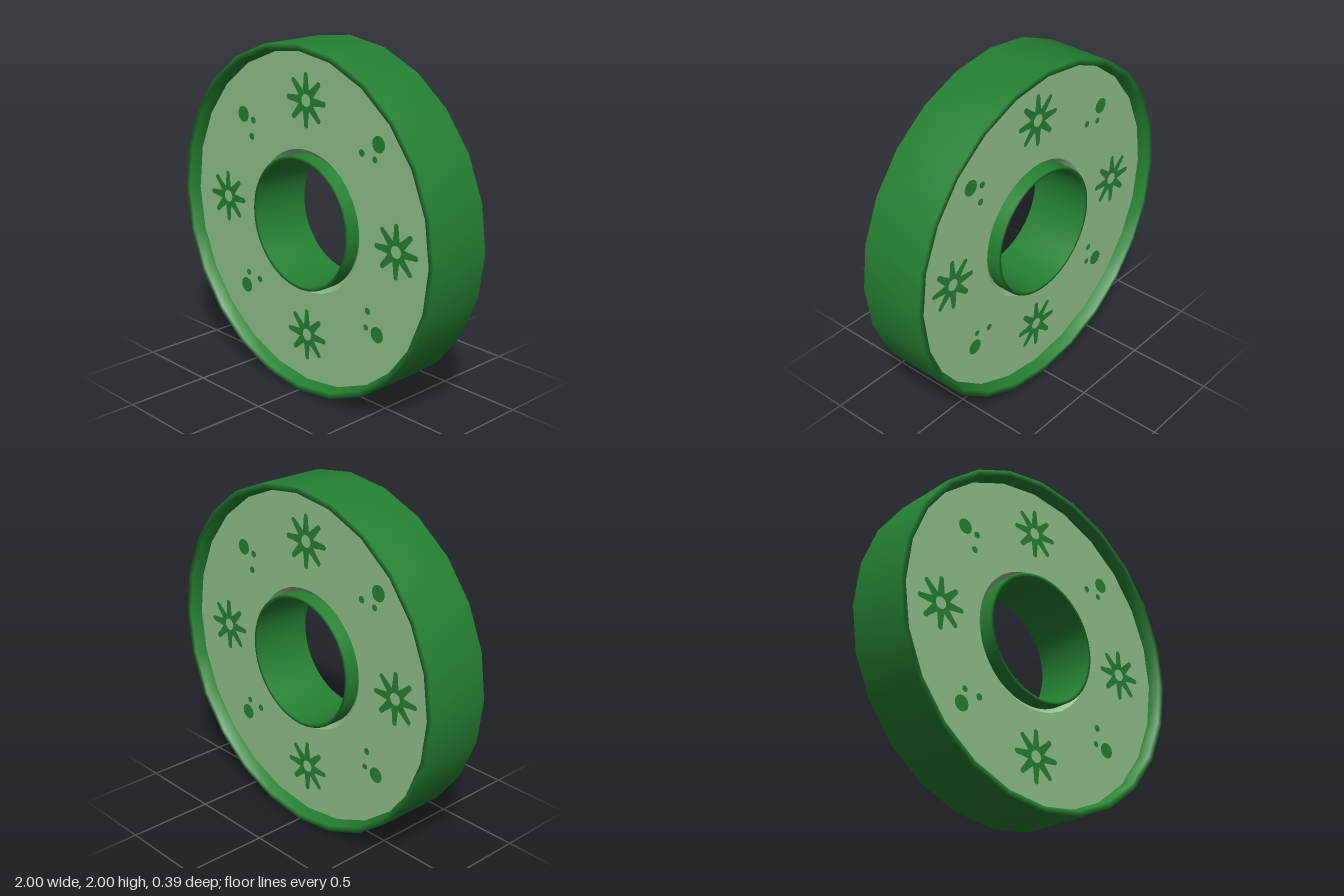
import * as THREE from 'three';

const FACE_Z = 0.128;

// Smooth revolved part whose axis runs front to back
function revolve(points, segments, material, name) {
  const geometry = new THREE.LatheGeometry(points.map(p => new THREE.Vector2(...p)), segments);
  geometry.rotateX(Math.PI / 2);
  const mesh = new THREE.Mesh(geometry, material);
  mesh.name = name;
  return mesh;
}

// Eight-petalled flower with an open centre
function flowerShape() {
  const points = [];
  const petal = [[-22.5, 0.062], [-10, 0.105], [-5.5, 0.148], [0, 0.156], [5.5, 0.148], [10, 0.105]];
  for (let i = 0; i < 8; i++) {
    for (const [offset, r] of petal) {
      const a = THREE.MathUtils.degToRad(i * 45 + offset);
      points.push(new THREE.Vector2(r * Math.cos(a), r * Math.sin(a)));
    }
  }
  const shape = new THREE.Shape(points);
  shape.holes.push(new THREE.Path().absarc(0, 0, 0.035, 0, Math.PI * 2, true));
  return shape;
}

function createSide(green, paleGreen) {
  const side = new THREE.Group();

  // Recessed pale face and the shallow groove around the hub
  const face = new THREE.Mesh(new THREE.RingGeometry(0.41, 0.958, 72), paleGreen);
  face.name = 'face';
  face.position.z = FACE_Z;
  side.add(face);
  side.add(revolve([[0.41, FACE_Z], [0.375, 0.095]], 72, paleGreen, 'hubGroove'));

  // Flowers above, below, left and right of the hub
  const flowerGeometry = new THREE.ShapeGeometry(flowerShape(), 16);
  for (const [x, y] of [[0, 0.685], [0, -0.675], [0.68, 0], [-0.68, 0]]) {
    const flower = new THREE.Mesh(flowerGeometry, green);
    flower.name = 'flower';
    flower.position.set(x, y, FACE_Z + 0.003);
    side.add(flower);
  }

  // Clusters of one large and two small dots: x, y, radius
  const dots = [
    [-0.525, 0.522, 0.046], [-0.44, 0.5, 0.02], [-0.455, 0.403, 0.02],
    [0.545, 0.545, 0.046], [0.425, 0.478, 0.02], [0.52, 0.46, 0.018],
    [-0.525, -0.517, 0.046], [-0.505, -0.432, 0.018], [-0.407, -0.45, 0.02],
    [0.552, -0.503, 0.046], [0.468, -0.485, 0.018], [0.48, -0.387, 0.02],
  ];
  for (const [x, y, r] of dots) {
    const dot = new THREE.Mesh(new THREE.CircleGeometry(r, 14), green);
    dot.name = 'dot';
    dot.position.set(x, y, FACE_Z + 0.003);
    side.add(dot);
  }
  return side;
}

export function createModel() {
  const green = new THREE.MeshStandardMaterial({ name: 'green', color: 0x258032 });
  const paleGreen = new THREE.MeshStandardMaterial({ name: 'paleGreen', color: 0x90c18a });

  const model = new THREE.Group();
  model.name = 'wheel';

  // Outer rim
  model.add(revolve([
    [0.945, 0], [0.95, -0.12], [0.965, -0.197], [1, -0.197],
    [1, 0.197], [0.965, 0.197], [0.95, 0.12], [0.945, 0],
  ], 24, green, 'outerRim'));

  // Hub tube around the centre hole
  model.add(revolve([
    [0.382, 0], [0.382, 0.185], [0.362, 0.185],
    [0.362, -0.185], [0.382, -0.185], [0.382, 0],
  ], 72, green, 'hub'));

  // The two sides are the same, turned half a turn
  const front = createSide(green, paleGreen);
  front.name = 'frontSide';
  const back = createSide(green, paleGreen);
  back.name = 'backSide';
  back.rotation.y = Math.PI;
  model.add(front, back);

  for (const part of model.children) part.position.y = 1;
  return model;
}
